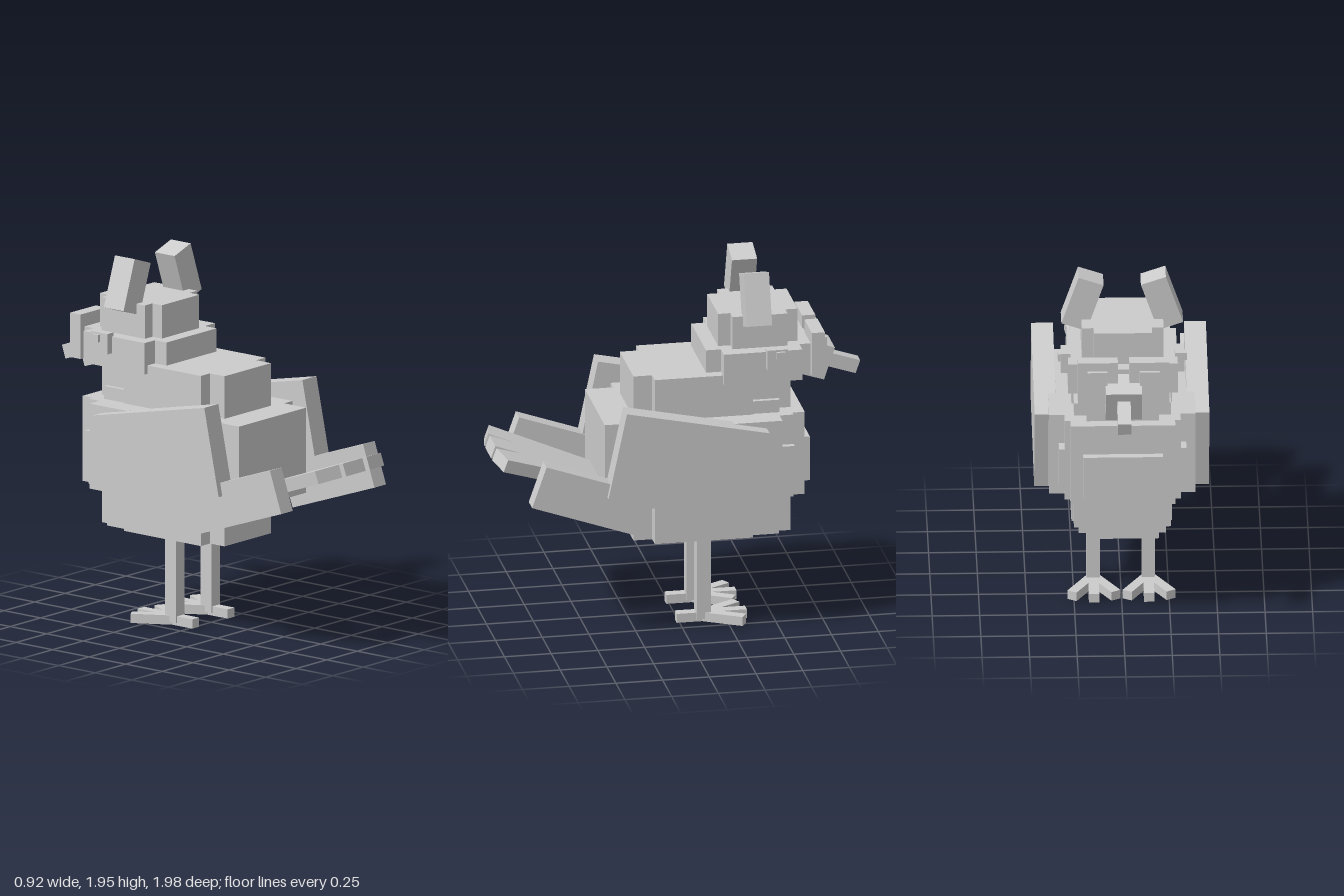
import * as THREE from 'three';

export function createModel() {
  const model = new THREE.Group();
  const grey = new THREE.MeshStandardMaterial({ color: 0xcccccc });
  grey.name = 'light grey';

  // Box by size and centre
  const box = (name, w, h, d, x, y, z, parent = model) => {
    const mesh = new THREE.Mesh(new THREE.BoxGeometry(w, h, d), grey);
    mesh.name = name;
    mesh.position.set(x, y, z);
    parent.add(mesh);
    return mesh;
  };
  // Box centred on x = 0, from half width and y, z limits
  const slab = (name, halfW, y0, y1, z0, z1) =>
    box(name, halfW * 2, y1 - y0, z1 - z0, 0, (y0 + y1) / 2, (z0 + z1) / 2);

  // Body: stacked tiers with notched corners
  slab('lowerBodyCore', 0.19, 0.485, 0.72, -0.59, 0.25);
  slab('lowerBodySides', 0.265, 0.485, 0.72, -0.375, 0.15);
  slab('lowerBodyCorners', 0.23, 0.485, 0.72, -0.52, 0);
  slab('lowerBodyPlates', 0.255, 0.52, 0.72, -0.52, -0.375);
  slab('middleBodyCore', 0.275, 0.715, 1.175, -0.65, 0.42);
  slab('middleBodySides', 0.343, 0.715, 1.175, -0.51, 0.27);
  slab('middleBodyShoulders', 0.385, 0.715, 1.175, -0.51, -0.25);
  slab('middleBodyCorners', 0.305, 0.715, 1.175, -0.585, 0);
  slab('middleBodyPlates', 0.335, 0.765, 1.01, -0.585, -0.5);
  slab('bellyPlate', 0.21, 0.765, 1.01, -0.69, -0.64);
  slab('upperBodyCore', 0.19, 1.17, 1.405, -0.59, 0.25);
  slab('upperBodySides', 0.265, 1.17, 1.405, -0.375, 0.15);
  slab('upperBodyCorners', 0.23, 1.17, 1.405, -0.52, 0);
  slab('upperBodyPlates', 0.255, 1.17, 1.245, -0.52, -0.375);

  // Head
  slab('faceCore', 0.205, 1.36, 1.53, -0.7, -0.135);
  slab('faceSides', 0.288, 1.36, 1.53, -0.635, -0.215);
  slab('crownCore', 0.153, 1.53, 1.71, -0.635, -0.21);
  slab('crownSides', 0.215, 1.53, 1.71, -0.57, -0.275);

  // Beak, tilted down
  box('beak', 0.19, 0.185, 0.2, 0, 1.399, -0.722).rotation.x = -0.32;
  box('beakTip', 0.07, 0.075, 0.2, 0, 1.348, -0.886).rotation.x = -0.32;

  for (const s of [-1, 1]) {
    const side = s > 0 ? 'left' : 'right';
    // Eyes and cheeks
    box(side + 'Eye', 0.21, 0.24, 0.07, s * 0.135, 1.48, -0.73);
    box(side + 'Pupil', 0.105, 0.105, 0.03, s * 0.137, 1.5, -0.77);
    box(side + 'Cheek', 0.05, 0.11, 0.11, s * 0.3, 1.495, -0.495);
    box(side + 'CheekStud', 0.03, 0.04, 0.045, s * 0.325, 1.52, -0.512);

    // Ear tufts
    box(side + 'Ear', 0.139, 0.28, 0.135, s * 0.209, 1.8, -0.4).rotation.z = s * 0.33;

    // Wings
    box(side + 'Wing', 0.115, 0.478, 0.78, s * 0.402, 0.984, 0.004).rotation.x = -0.207;
    box(side + 'WingTip', 0.095, 0.236, 0.594, s * 0.382, 0.81, 0.519).rotation.x = -0.335;

    // Legs and feet
    box(side + 'Leg', 0.07, 0.47, 0.075, s * 0.145, 0.25, -0.128);
    const foot = new THREE.Group();
    foot.name = side + 'Foot';
    foot.position.set(s * 0.145, 0.025, -0.128);
    model.add(foot);
    box('hindToe', 0.055, 0.05, 0.15, 0, 0, 0.068, foot);
    for (const k of [-1, 0, 1]) {
      const toe = new THREE.Group();
      toe.name = 'toe';
      toe.rotation.y = k * 0.52;
      foot.add(toe);
      box('frontToe', 0.055, 0.05, 0.232, 0, 0, -0.116, toe);
    }
  }

  // Tail: three fanned feathers
  const tail = new THREE.Group();
  tail.name = 'tail';
  tail.position.set(0, 0.752, 0.322);
  tail.rotation.x = -0.35;
  model.add(tail);
  for (const k of [-1, 0, 1]) {
    const feather = new THREE.Group();
    feather.name = 'tailFeather';
    feather.position.x = k * 0.04;
    feather.rotation.y = k * 0.218;
    tail.add(feather);
    box('featherVane', 0.16, 0.07, 0.7, 0, 0, 0.35, feather);
  }
  return model;
}
